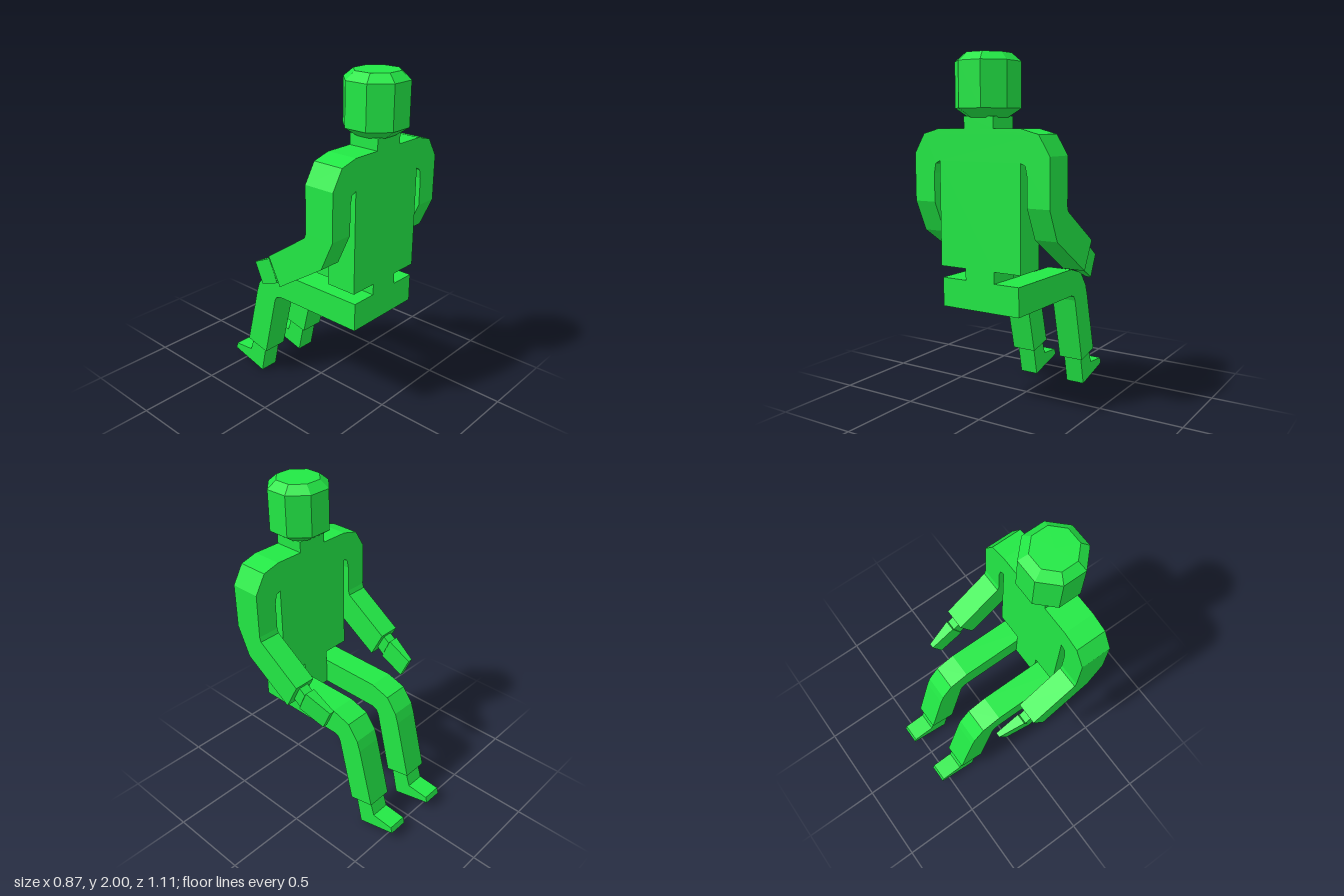
import * as THREE from 'three';

const material = new THREE.MeshStandardMaterial({ color: 0x22e845, flatShading: true });

// Extrudes a side outline of [z, y] points across x from x0 to x1.
function sideSlab(points, x0, x1) {
  const shape = new THREE.Shape(points.map(([z, y]) => new THREE.Vector2(z, y)));
  const geometry = new THREE.ExtrudeGeometry(shape, { depth: x1 - x0, bevelEnabled: false });
  return geometry.rotateY(-Math.PI / 2).translate(x1, 0, 0);
}

export function createModel() {
  const group = new THREE.Group();
  const add = (name, geometry, parent = group) => {
    const mesh = new THREE.Mesh(geometry, material);
    mesh.name = name;
    parent.add(mesh);
    return mesh;
  };

  // Torso: one mirrored outline with neck, shoulders, upper arms and waist
  const half = [
    [0.095, 1.67], [0.095, 1.605], [0.265, 1.605], [0.37, 1.577], [0.437, 1.467],
    [0.437, 1.2], [0.302, 1.2], [0.302, 1.36], [0.291, 1.415], [0.262, 1.43],
    [0.262, 0.843], [0.095, 0.843], [0.095, 0.775],
  ];
  const outline = [...half, ...half.map(([x, y]) => [-x, y]).reverse()];
  const torsoShape = new THREE.Shape(outline.map(([x, y]) => new THREE.Vector2(x, y)));
  add('torso', new THREE.ExtrudeGeometry(torsoShape, { depth: 0.187, bevelEnabled: false }).translate(0, 0, 0.292));

  // Head: octagonal, with chamfered top and bottom
  const profile = [[0, 1.663], [0.1, 1.663], [0.168, 1.711], [0.168, 1.955], [0.119, 2], [0, 2]]
    .map(([r, y]) => new THREE.Vector2(r / Math.cos(Math.PI / 8), y));
  add('head', new THREE.LatheGeometry(profile, 8).rotateY(Math.PI / 8).translate(0, 0, 0.387));

  // Pelvis between the thighs
  add('pelvis', new THREE.BoxGeometry(0.19, 0.165, 0.187).translate(0, 0.6955, 0.3855));

  const forearm = [[0.479, 1.2], [0.4, 1.025], [0.09, 0.82], [0.007, 0.983], [0.283, 1.172], [0.292, 1.2]];
  const wrist = [[0.07, 0.86], [0.025, 0.825], [-0.02, 0.928], [0.02, 0.958]];
  const hand = [[0.03, 0.81], [-0.127, 0.737], [-0.185, 0.865], [-0.03, 0.944]];
  const leg = [
    [0.479, 0.613], [0.479, 0.778], [-0.1, 0.775], [-0.22, 0.737], [-0.287, 0.647], [-0.308, 0.583],
    [-0.403, 0.21], [-0.245, 0.175], [-0.15, 0.575], [-0.135, 0.602], [-0.105, 0.613],
  ];
  const foot = [
    [-0.262, 0.215], [-0.372, 0.235], [-0.41, 0.115], [-0.546, 0.103],
    [-0.557, 0.065], [-0.308, 0],
  ];

  for (const [side, s] of [['left', 1], ['right', -1]]) {
    const slab = (points, inner, outer) =>
      sideSlab(points, Math.min(s * inner, s * outer), Math.max(s * inner, s * outer));

    const arm = new THREE.Group();
    arm.name = side + 'Arm';
    add(side + 'Forearm', slab(forearm, 0.302, 0.437), arm);
    add(side + 'Wrist', slab(wrist, 0.337, 0.4), arm);

    // Hand: the outer face tapers in towards the fingertips
    const handGeometry = slab(hand, 0.335, 0.4);
    const p = handGeometry.attributes.position;
    for (let i = 0; i < p.count; i++) {
      if (p.getZ(i) < -0.1 && Math.abs(p.getX(i)) > 0.37) p.setX(i, s * 0.366);
    }
    handGeometry.computeVertexNormals();
    add(side + 'Hand', handGeometry, arm);

    const legGroup = new THREE.Group();
    legGroup.name = side + 'LegAndFoot';
    add(side + 'Leg', slab(leg, 0.095, 0.251), legGroup);
    add(side + 'Foot', slab(foot, 0.113, 0.231), legGroup);
    group.add(arm, legGroup);
  }
  return group;
}
